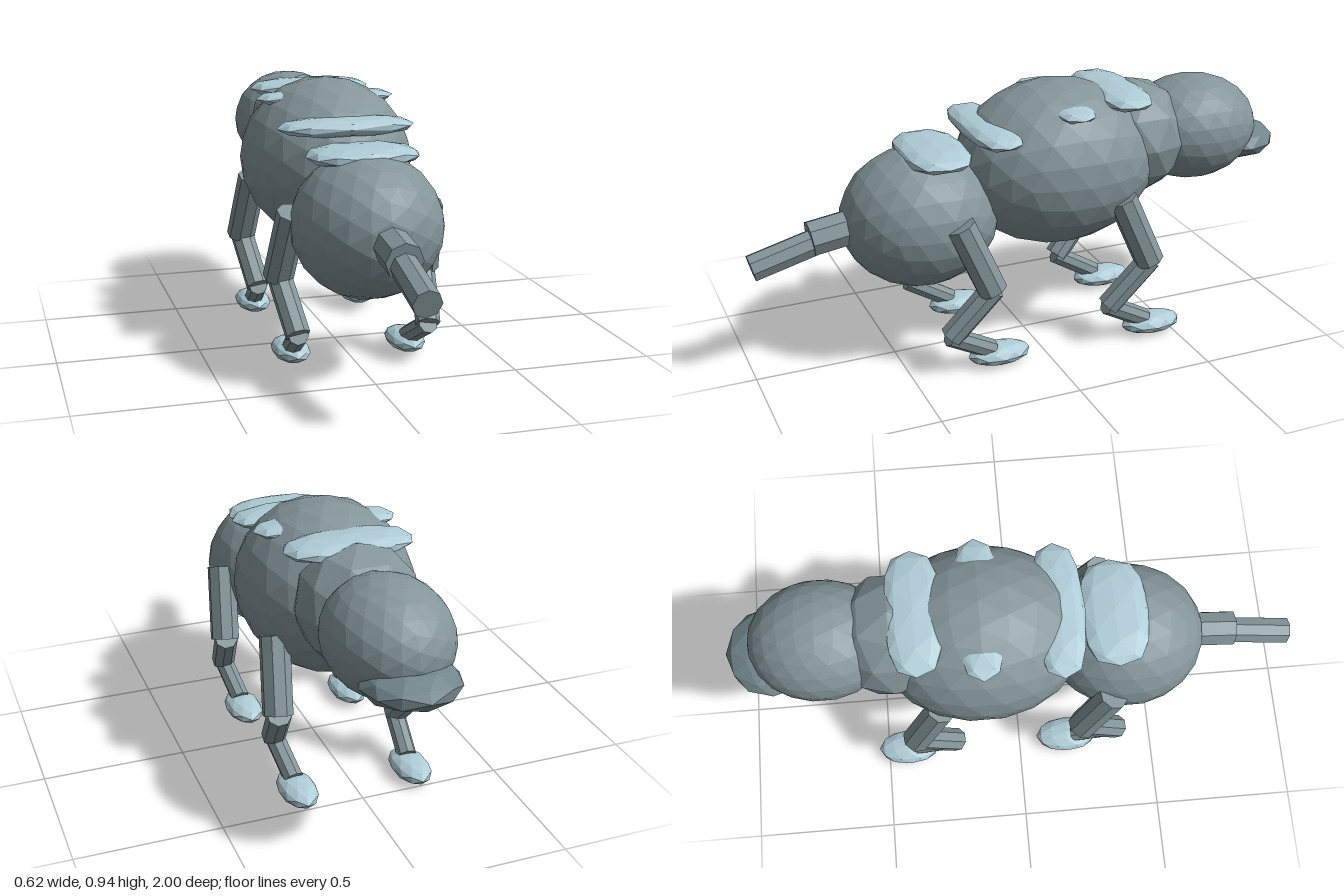
import * as THREE from 'three';

const material = (name, color) => {
  const m = new THREE.MeshStandardMaterial({ color, flatShading: true });
  m.name = name;
  return m;
};

export function createModel() {
  const group = new THREE.Group();
  const grey = material('slate grey', 0x84959a);
  const dark = material('dark slate', 0x71858a);
  const blue = material('pale blue', 0xafccd7);

  // Faceted ellipsoid; power below 1 squares off its outline from above
  const blob = (name, mat, pos, radii, detail, power = 1) => {
    const g = new THREE.IcosahedronGeometry(1, detail);
    const p = g.attributes.position;
    const square = (c) => Math.sign(c) * Math.pow(Math.abs(c), power);
    for (let i = 0; i < p.count; i++) {
      p.setXYZ(i, square(p.getX(i)) * radii[0], p.getY(i) * radii[1], square(p.getZ(i)) * radii[2]);
    }
    g.computeVertexNormals();
    const mesh = new THREE.Mesh(g, mat);
    mesh.name = name;
    mesh.position.set(...pos);
    group.add(mesh);
  };

  // Eight-sided rod between two points
  const rod = (name, a, b, radius) => {
    const from = new THREE.Vector3(...a);
    const dir = new THREE.Vector3(...b).sub(from);
    const mesh = new THREE.Mesh(new THREE.CylinderGeometry(radius, radius, dir.length(), 8), grey);
    mesh.name = name;
    mesh.position.copy(from).addScaledVector(dir, 0.5);
    mesh.quaternion.setFromUnitVectors(new THREE.Vector3(0, 1, 0), dir.normalize());
    group.add(mesh);
  };

  // Body, neck and head
  blob('torso', grey, [0, 0.65, -0.12], [0.305, 0.295, 0.37], 3);
  blob('rump', grey, [0, 0.52, 0.39], [0.255, 0.245, 0.28], 3);
  blob('neck', grey, [0, 0.703, -0.42], [0.215, 0.212, 0.21], 1);
  blob('head', grey, [0, 0.703, -0.665], [0.21, 0.193, 0.25], 3);
  blob('snout', dark, [0, 0.635, -0.84], [0.165, 0.066, 0.16], 1);

  // Tail in two sections
  rod('tailBase', [0, 0.53, 0.55], [0, 0.497, 0.78], 0.063);
  rod('tailTip', [0, 0.487, 0.75], [0, 0.425, 0.985], 0.048);

  // Pale patches across the back
  blob('rumpPatch', blue, [0, 0.747, 0.34], [0.195, 0.037, 0.12], 1, 0.75);
  blob('shoulderPatch', blue, [0, 0.81, 0.147], [0.245, 0.034, 0.09], 1, 0.75);
  blob('middlePatch', blue, [0, 0.873, -0.12], [0.255, 0.03, 0.085], 1, 0.75);
  blob('neckPatch', blue, [0, 0.88, -0.337], [0.225, 0.036, 0.1], 1, 0.75);

  // Four identical legs
  for (const [end, dz] of [['front', 0], ['rear', -0.6]]) {
    for (const [side, s] of [['Left', 1], ['Right', -1]]) {
      const n = end + side;
      const at = (x, y, z) => [s * x, y, z + dz];
      rod(n + 'Thigh', at(0.236, 0.562, 0.325), at(0.262, 0.315, 0.222), 0.053);
      rod(n + 'Shin', at(0.258, 0.32, 0.218), at(0.23, 0.15, 0.365), 0.043);
      rod(n + 'Ankle', at(0.23, 0.152, 0.37), at(0.212, 0.06, 0.21), 0.035);
      blob(n + 'Paw', blue, at(0.21, 0.039, 0.18), [0.066, 0.038, 0.115], 1);
    }
  }
  return group;
}
